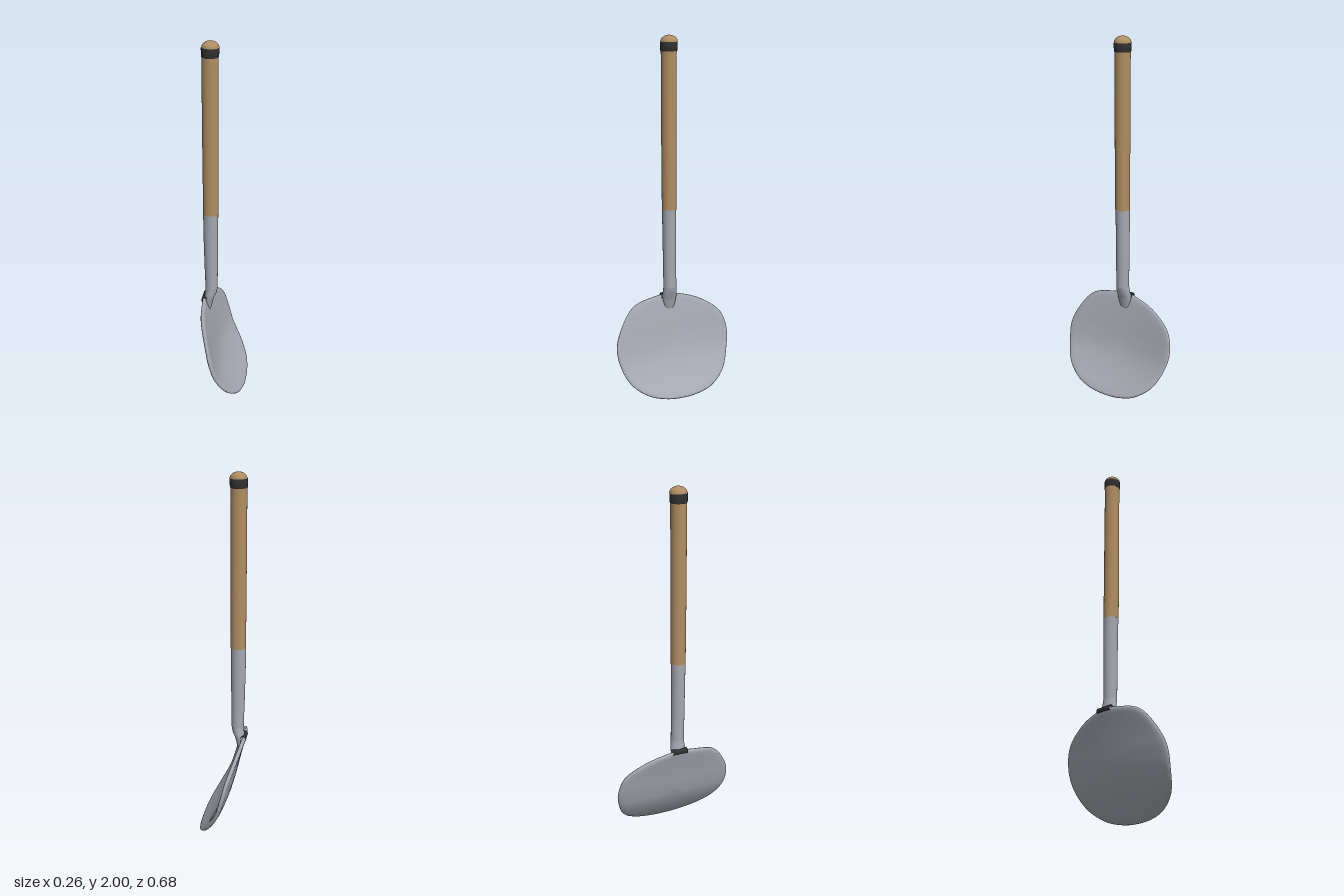
import * as THREE from 'three';

const wood = new THREE.MeshStandardMaterial({ color: 0xb08d62 });
wood.name = 'wood';
const metal = new THREE.MeshStandardMaterial({ color: 0xa5a8b1 });
metal.name = 'grey metal';
const black = new THREE.MeshStandardMaterial({ color: 0x303030 });
black.name = 'black binding';

// Smooth skin over closed rings that all hold the same number of points
function skin(name, rings, material) {
  const n = rings[0].length;
  const index = [];
  for (let i = 0; i < rings.length - 1; i++) {
    for (let j = 0; j < n; j++) {
      const k = (j + 1) % n;
      const a = i * n + j, b = i * n + k, c = a + n, d = b + n;
      index.push(a, c, b, b, c, d);
    }
  }
  const g = new THREE.BufferGeometry();
  g.setAttribute('position', new THREE.Float32BufferAttribute(rings.flat(2), 3));
  g.setIndex(index);
  g.computeVertexNormals();
  const mesh = new THREE.Mesh(g, material);
  mesh.name = name;
  return mesh;
}

// Elliptical rings along the shaft: [y, x, z, radiusX, radiusZ], bottom to top
function shaft(name, sections, material) {
  const rings = sections.map(([y, x, z, rx, rz]) =>
    Array.from({ length: 32 }, (_, j) => {
      const a = (j / 32) * Math.PI * 2;
      return [x + Math.cos(a) * rx, y, z + Math.sin(a) * rz];
    }));
  return skin(name, rings, material);
}

// Uneven oval outline of the blade as [z, y]
const outline = new THREE.CatmullRomCurve3([
  [0, 0.553], [0.074, 0.546], [0.217, 0.51], [0.297, 0.413], [0.339, 0.307], [0.329, 0.2],
  [0.286, 0.106], [0.2, 0.042], [0.095, 0.011], [0, 0.004], [-0.09, 0.01], [-0.19, 0.037],
  [-0.28, 0.106], [-0.328, 0.217], [-0.339, 0.307], [-0.307, 0.413], [-0.196, 0.498], [-0.074, 0.541],
].map(([z, y]) => new THREE.Vector3(0, y, z)), true);

// Lengthwise bend of the blade: x for a given y
const bend = new THREE.SplineCurve([
  [0, 0.121], [0.1, 0.036], [0.2, -0.027], [0.3, -0.06], [0.4, -0.083], [0.5, -0.108], [0.56, -0.126],
].map(([y, x]) => new THREE.Vector2(y, x)));
function bendX(y) {
  let lo = 0, hi = 1;
  for (let i = 0; i < 24; i++) {
    const mid = (lo + hi) / 2;
    if (bend.getPoint(mid).x < y) lo = mid; else hi = mid;
  }
  return bend.getPoint(lo).y;
}

// Thin dished blade: rings run from the front centre, round the rim, to the back centre
function blade() {
  const rim = outline.getPoints(96).slice(0, 96);
  const half = [[0, 1], [0.2, 1], [0.4, 1], [0.6, 1], [0.78, 1], [0.9, 1], [0.96, 0.9], [0.99, 0.55]];
  const steps = [...half, [1, 0], ...half.map(([r, t]) => [r, -t]).reverse()];
  const rings = steps.map(([r, t]) => rim.map((p) => {
    const y = 0.28 + (p.y - 0.28) * r;
    const z = p.z * r;
    const off = t * 0.012;
    const x = bendX(y) + 0.2 * z * z;
    return [x + off * 0.9, y + off * 0.43, z];
  }));
  return skin('blade', rings, metal);
}

export function createModel() {
  const group = new THREE.Group();
  group.name = 'longHandledScoop';

  group.add(blade());

  // Neck flattens and runs into the top of the blade
  group.add(shaft('neck', [
    [0.46, -0.095, 0, 0.004, 0.015],
    [0.49, -0.096, 0, 0.014, 0.03],
    [0.52, -0.098, 0, 0.022, 0.038],
    [0.55, -0.096, 0.001, 0.028, 0.043],
    [0.575, -0.087, 0.002, 0.032, 0.04],
    [0.61, -0.082, 0.003, 0.034, 0.037],
  ], metal));

  // Metal socket, slightly wider toward the top
  group.add(shaft('socket', [
    [0.61, -0.082, 0.003, 0.034, 0.037],
    [0.75, -0.083, 0.004, 0.037, 0.037],
    [0.95, -0.084, 0.005, 0.04, 0.038],
    [1.07, -0.083, 0.006, 0.041, 0.039],
  ], metal));

  group.add(shaft('handle', [
    [1.07, -0.082, 0.006, 0.042, 0.04],
    [1.5, -0.081, 0.007, 0.043, 0.041],
    [1.92, -0.08, 0.007, 0.043, 0.041],
  ], wood));

  // Black band under the end of the handle
  group.add(shaft('band', [
    [1.918, -0.08, 0.007, 0.041, 0.04],
    [1.922, -0.08, 0.007, 0.045, 0.044],
    [1.945, -0.079, 0.007, 0.046, 0.045],
    [1.966, -0.079, 0.007, 0.046, 0.045],
    [1.969, -0.079, 0.007, 0.041, 0.04],
  ], black));

  // Rounded wooden end
  const dome = [];
  for (let i = 0; i <= 8; i++) {
    const a = (i / 8) * Math.PI / 2;
    const r = 0.045 * Math.cos(a);
    dome.push([1.966 + 0.034 * Math.sin(a), -0.078, 0.006, r, r]);
  }
  group.add(shaft('handleEnd', dome, wood));

  // Dark patch wrapped over the blade's top edge behind the neck
  const patch = [];
  for (let i = 0; i <= 8; i++) {
    const z = -0.043 + (i / 8) * 0.088;
    patch.push(Array.from({ length: 12 }, (_, j) => {
      const a = (j / 12) * Math.PI * 2;
      return [-0.118 + Math.cos(a) * 0.017, 0.546 - Math.sin(a) * 0.017, z];
    }));
  }
  group.add(skin('jointPatch', patch.reverse(), black));
  group.getObjectByName('jointPatch').material.side = THREE.DoubleSide;

  return group;
}
